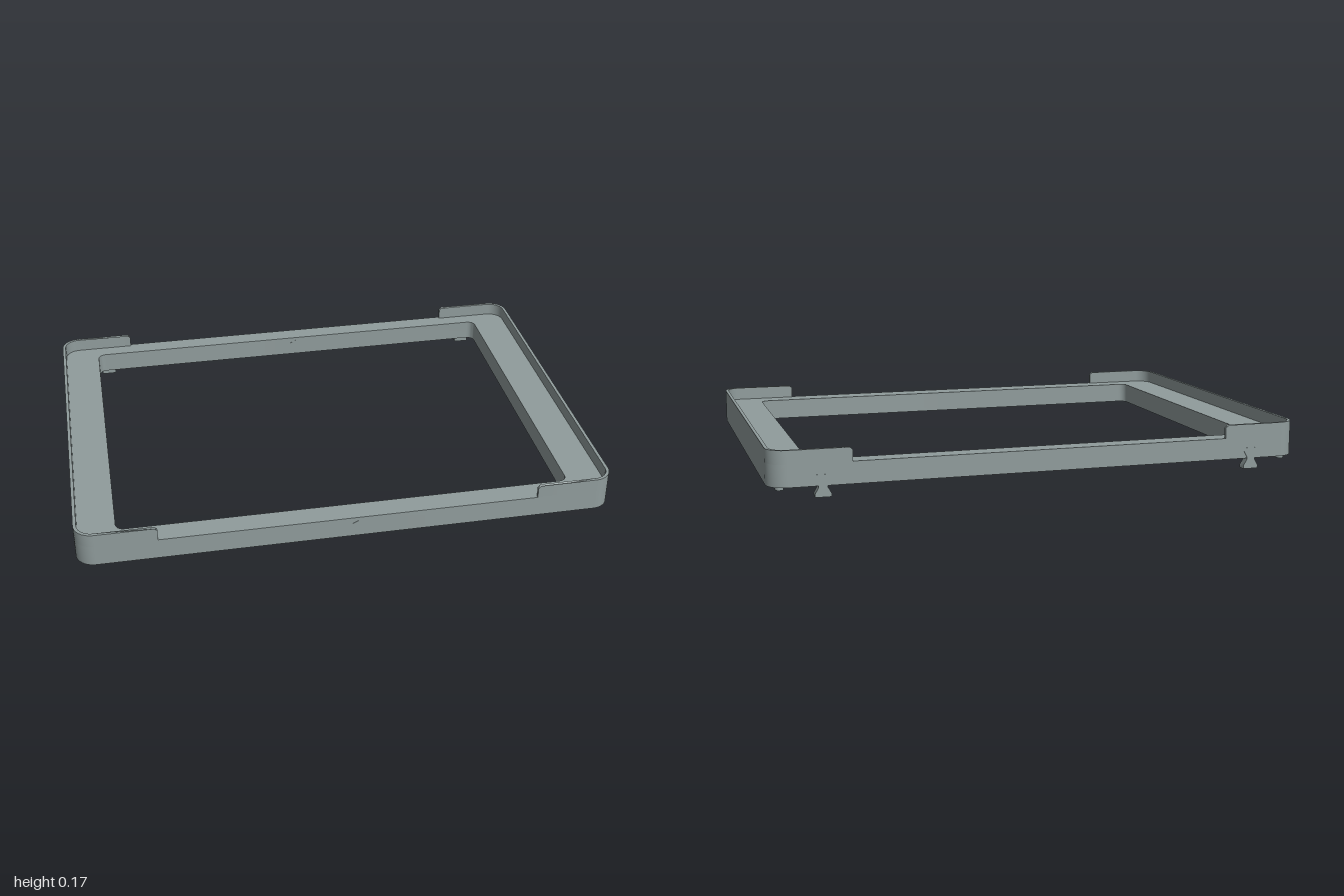
import * as THREE from 'three';
import { toCreasedNormals } from 'three/addons/utils/BufferGeometryUtils.js';

const W = 1, D = 0.719, R = 0.07;          // outer half width, half depth, corner radius
const INX = 0.85, INR = 0.03;              // inner opening
const BASE = 0.04, DECK = 0.12, TOP = 0.17; // heights
const RIM = 0.012, RIM_END = 0.705;

// Points of a quarter circle from angle a to b
function arc(cx, cy, r, a, b, n = 10) {
  return Array.from({ length: n + 1 }, (_, i) => {
    const t = a + (b - a) * i / n;
    return [cx + r * Math.cos(t), cy + r * Math.sin(t)];
  });
}

function extrude(points, depth) {
  const shape = new THREE.Shape(points.map(p => new THREE.Vector2(p[0], p[1])));
  return new THREE.ExtrudeGeometry(shape, { depth, bevelEnabled: false });
}

// Upright extrusion of a plan outline, mirrored into the quarter (sx, sz)
function planExtrude(points, sx, sz, y0, y1) {
  const geo = extrude(points.map(([u, v]) => [sx * u, -sz * v]), y1 - y0);
  return geo.rotateX(-Math.PI / 2).translate(0, y0, 0);
}

export function createModel() {
  const group = new THREE.Group();
  const grey = new THREE.MeshStandardMaterial({ color: 0x909c9c });
  grey.name = 'grey';
  const add = (name, geo) => {
    const mesh = new THREE.Mesh(toCreasedNormals(geo, 0.6), grey);
    mesh.name = name;
    group.add(mesh);
  };
  const H = Math.PI / 2;

  for (const sx of [-1, 1]) {
    for (const sz of [-1, 1]) {
      const inZ = sz > 0 ? 0.632 : 0.647;
      const tab = -sz * 0.04; // tab on front pieces, matching notch on back pieces

      // L-shaped frame quarter with dovetail joint
      add('frameQuarter', planExtrude([
        [0, D], ...arc(W - R, D - R, R, H, 0), [W, 0],
        [0.962, 0], [0.974, tab], [0.928, tab], [0.94, 0],
        [INX, 0], ...arc(INX - INR, inZ - INR, INR, 0, H, 6), [0, inZ],
      ], sx, sz, BASE, DECK));

      // Raised rim round the corner, with its free end eased at the top
      const rim = planExtrude([
        [RIM_END, D], [RIM_END + 0.01, D], ...arc(W - R, D - R, R, H, 0), [W, 0],
        [W - RIM, 0], ...arc(W - R, D - R, R - RIM, 0, H),
        [RIM_END + 0.01, D - RIM], [RIM_END, D - RIM],
      ], sx, sz, DECK, TOP);
      const pos = rim.attributes.position;
      for (let i = 0; i < pos.count; i++) {
        if (Math.abs(pos.getX(i)) < RIM_END + 0.001 && pos.getY(i) > TOP - 0.001) pos.setY(i, TOP - 0.01);
      }
      add('cornerRim', rim);

      // Small locating peg under the corner
      add('peg', new THREE.CylinderGeometry(0.015, 0.015, 0.02, 20)
        .translate(sx * 0.955, 0.035, sz * 0.673));
    }

    // Bow-tie clip set into the back rail and hanging below it
    add('bowTieClip', extrude([
      [-0.029, 0], [0.029, 0], [0.029, 0.012], [0.016, 0.035], [0.016, 0.045],
      [0.029, 0.068], [0.029, 0.08], [-0.029, 0.08], [-0.029, 0.068],
      [-0.016, 0.045], [-0.016, 0.035], [-0.029, 0.012],
    ], 0.03).translate(sx * 0.81, 0, -D - 0.001));
  }

  // Dovetail keys through the middle of the front and back rails
  const key = [[0, 0.07], [0.027, 0.056], [0.027, 0.108], [0, 0.094]];
  add('frontKey', extrude(key, D - 0.632 + 0.002).translate(0, 0, 0.631));
  add('backKey', extrude(key, D - 0.647 + 0.002).translate(0, 0, -D - 0.001));

  return group;
}
